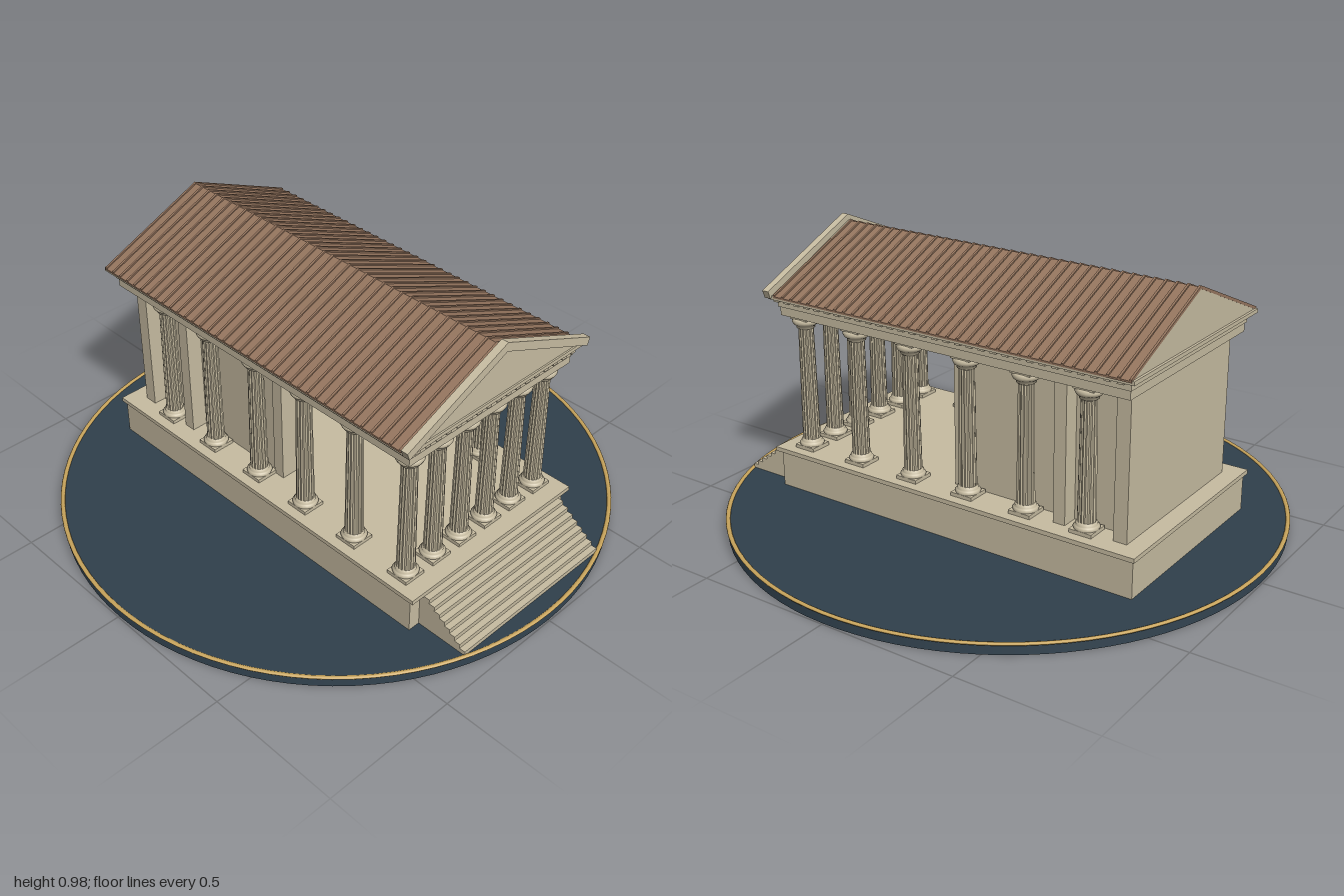
import * as THREE from 'three';

const mat = (name, color) => Object.assign(new THREE.MeshStandardMaterial({ color }), { name });

export function createModel() {
  const stone = mat('stone', 0xc8bda2);
  const tile = mat('roofTile', 0x96765f);
  const slate = mat('slateBase', 0x30404c);
  const gold = mat('goldTrim', 0xc9a55c);
  const model = new THREE.Group();
  model.name = 'temple';

  const add = (name, geo, m = stone, parent = model) => {
    const mesh = new THREE.Mesh(geo, m);
    mesh.name = name;
    parent.add(mesh);
    return mesh;
  };
  // box given by its min and max on each axis
  const box = (name, x0, x1, y0, y1, z0, z1, m, parent) => {
    const b = add(name, new THREE.BoxGeometry(x1 - x0, y1 - y0, z1 - z0), m, parent);
    b.position.set((x0 + x1) / 2, (y0 + y1) / 2, (z0 + z1) / 2);
    return b;
  };
  // prism with a (z, y) outline running along x
  const prism = (name, pts, x0, x1, m, parent) => {
    const shape = new THREE.Shape(pts.map(([z, y]) => new THREE.Vector2(-z, y)));
    const geo = new THREE.ExtrudeGeometry(shape, { depth: x1 - x0, bevelEnabled: false });
    geo.rotateY(Math.PI / 2).translate(x0, 0, 0);
    return add(name, geo, m, parent);
  };

  // round display base with gold rim
  add('base', new THREE.CylinderGeometry(0.99, 0.995, 0.036, 96), slate).position.y = 0.018;
  const rim = add('baseRim', new THREE.TorusGeometry(0.992, 0.008, 8, 96), gold);
  rim.rotation.x = Math.PI / 2;
  rim.scale.z = 0.6;
  rim.position.y = 0.036;

  // podium and stairs
  box('podium', -0.735, 0.73, 0.034, 0.17, -0.385, 0.385);
  box('podiumCap', -0.745, 0.75, 0.17, 0.186, -0.397, 0.397);
  const steps = 8, stairs = new THREE.Group();
  stairs.name = 'stairs';
  model.add(stairs);
  for (let i = 0; i < steps; i++) {
    const top = 0.052 + i * 0.0165;
    box('step', 0.728, 0.928 - i * 0.0225, top - 0.0165, top, -0.34, 0.34, stone, stairs);
  }

  // cella: open doorway in front, wide rear wall, side pilasters
  const cella = new THREE.Group();
  cella.name = 'cella';
  model.add(cella);
  const floor = 0.185, wallTop = 0.68;
  box('rearWall', -0.68, -0.63, floor, wallTop, -0.33, 0.33, stone, cella);
  for (const s of [-1, 1]) {
    const side = (name, x0, x1, za, zb) =>
      box(name, x0, x1, floor, wallTop, Math.min(s * za, s * zb), Math.max(s * za, s * zb), stone, cella);
    side('sideWall', -0.64, 0, 0.23, 0.27);
    side('pilaster', -0.45, -0.405, 0.26, 0.33);
    side('frontWall', -0.02, 0.024, 0.137, 0.28);
  }
  box('doorLintel', -0.02, 0.024, 0.575, wallTop, -0.137, 0.137, stone, cella);

  // fluted columns
  const shaftGeo = new THREE.CylinderGeometry(0.027, 0.032, 0.44, 32, 1, true).toNonIndexed();
  const p = shaftGeo.attributes.position;
  for (let i = 0; i < p.count; i++) {
    const k = Math.round(Math.atan2(p.getZ(i), p.getX(i)) / (Math.PI / 16));
    const f = k % 2 ? 0.9 : 1;
    p.setXYZ(i, p.getX(i) * f, p.getY(i), p.getZ(i) * f);
  }
  shaftGeo.computeVertexNormals();
  const lathe = pts => new THREE.LatheGeometry(pts.map(([r, y]) => new THREE.Vector2(r, y)), 20);
  const baseGeo = lathe([[0.042, 0], [0.045, 0.007], [0.04, 0.013], [0.036, 0.016], [0.037, 0.021], [0.031, 0.026]]);
  const capGeo = lathe([[0.027, 0], [0.033, 0.004], [0.031, 0.01], [0.043, 0.018], [0.048, 0.028], [0.044, 0.038], [0.03, 0.04]]);
  const column = (x, z) => {
    const c = new THREE.Group();
    c.name = 'column';
    c.position.set(x, 0.186, z);
    box('plinth', -0.042, 0.042, 0, 0.013, -0.042, 0.042, stone, c);
    add('columnBase', baseGeo, stone, c).position.y = 0.012;
    add('shaft', shaftGeo, stone, c).position.y = 0.246;
    add('capital', capGeo, stone, c).position.y = 0.455;
    box('abacus', -0.038, 0.038, 0.492, 0.512, -0.038, 0.038, stone, c);
    model.add(c);
  };
  for (let i = 0; i < 6; i++) column(0.645, -0.318 + i * 0.1272);
  for (let i = 1; i < 6; i++) for (const s of [-1, 1]) column(0.645 - i * 0.234, s * 0.318);

  // entablature in stepped bands
  box('architrave', -0.705, 0.7, 0.695, 0.727, -0.382, 0.382);
  box('frieze', -0.71, 0.705, 0.727, 0.748, -0.388, 0.388);
  box('dentilBed', -0.7, 0.695, 0.748, 0.758, -0.38, 0.38);
  box('cornice', -0.735, 0.722, 0.758, 0.772, -0.415, 0.415);
  const dentils = new THREE.Group();
  dentils.name = 'dentils';
  model.add(dentils);
  for (const s of [-1, 1]) {
    for (let x = -0.69; x < 0.7; x += 0.046)
      box('dentil', x, x + 0.022, 0.747, 0.759, s * 0.39 - 0.012, s * 0.39 + 0.012, stone, dentils);
    for (let z = -0.38; z < 0.37; z += 0.046)
      box('dentil', s * 0.707 - 0.012, s * 0.707 + 0.012, 0.747, 0.759, z, z + 0.022, stone, dentils);
  }

  // stone gable body under the tiles
  prism('gableBody', [[-0.41, 0.77], [0.41, 0.77], [0, 0.946]], -0.726, 0.69);

  // tiled slopes with thin raised ribs
  const ribs = 36, len = 1.425;
  for (const s of [-1, 1]) {
    const slope = (name, lift, x0, x1) => {
      const pts = [[0, 0.946], [s * 0.418, 0.766], [s * 0.418, 0.772 + lift], [0, 0.952 + lift]];
      prism(name, s < 0 ? pts : pts.reverse(), x0, x1, tile);
    };
    slope('roofSlope', 0, -0.727, 0.698);
    for (let i = 0; i <= ribs; i++) {
      const x = -0.727 + (i * (len - 0.008)) / ribs;
      slope('roofRib', 0.005, x, x + 0.008);
    }
  }

  // front pediment with raking cornice
  prism('tympanum', [[-0.4, 0.772], [0.4, 0.772], [0, 0.953]], 0.69, 0.716);
  prism('rakingCornice', [[-0.43, 0.79], [-0.42, 0.762], [0, 0.942], [0.42, 0.762], [0.43, 0.79], [0, 0.975]], 0.708, 0.735);
  return model;
}
